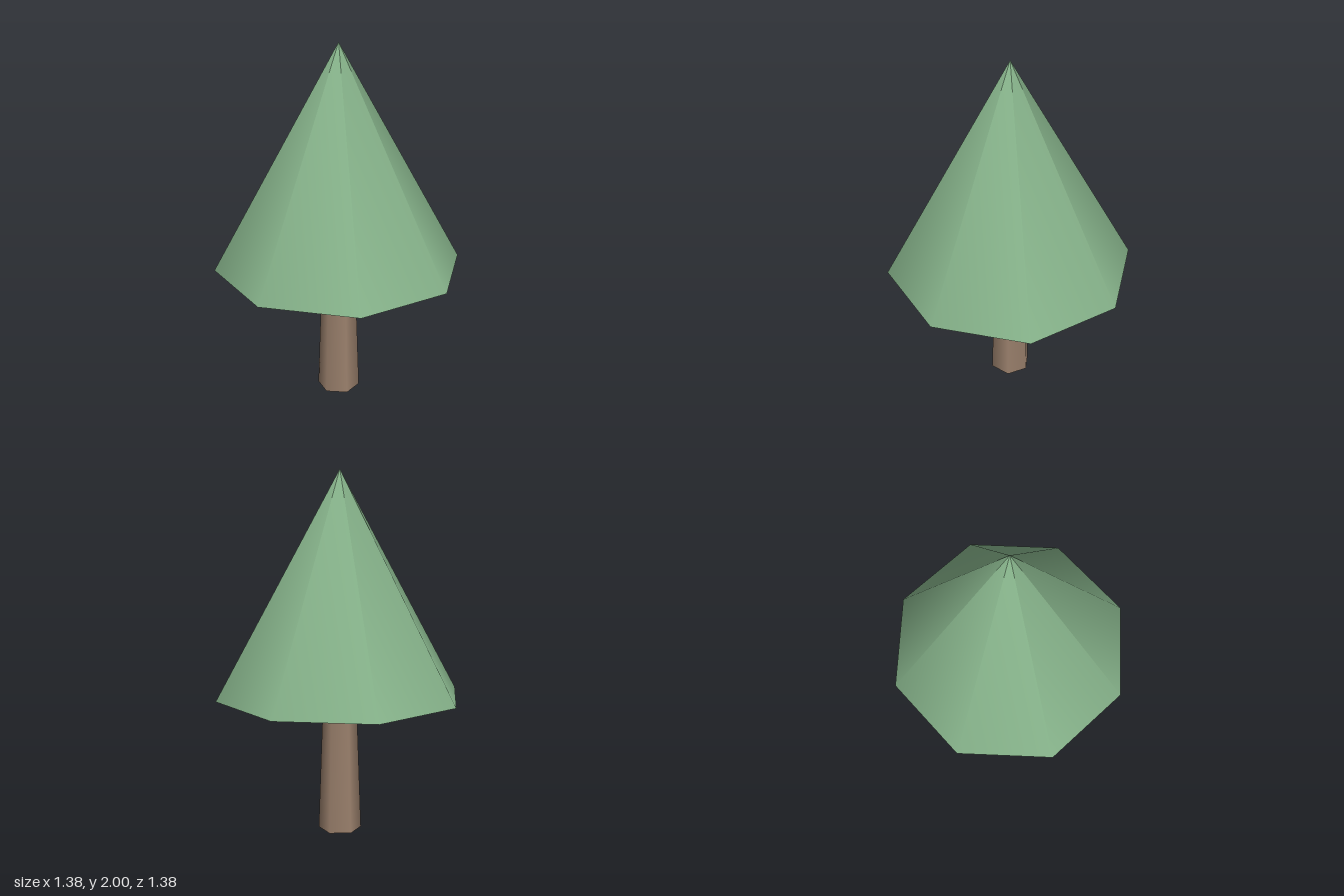
import * as THREE from 'three';

export function createModel() {
  const tree = new THREE.Group();
  tree.name = 'tree';

  const add = (name, geometry, color, y) => {
    const mesh = new THREE.Mesh(geometry, new THREE.MeshStandardMaterial({ color }));
    mesh.name = name;
    mesh.position.y = y;
    tree.add(mesh);
  };

  const trunkHeight = 0.775;
  const crownHeight = 2 - trunkHeight;

  // Six-sided tapered trunk, corners towards +z and -z
  add('trunk', new THREE.CylinderGeometry(0.092, 0.12, trunkHeight, 6), 0x9a806c, trunkHeight / 2);

  // Eight-sided crown with smooth sides and a closed base
  add('crown', new THREE.ConeGeometry(0.69, crownHeight, 8), 0x84b088, trunkHeight + crownHeight / 2);

  return tree;
}
